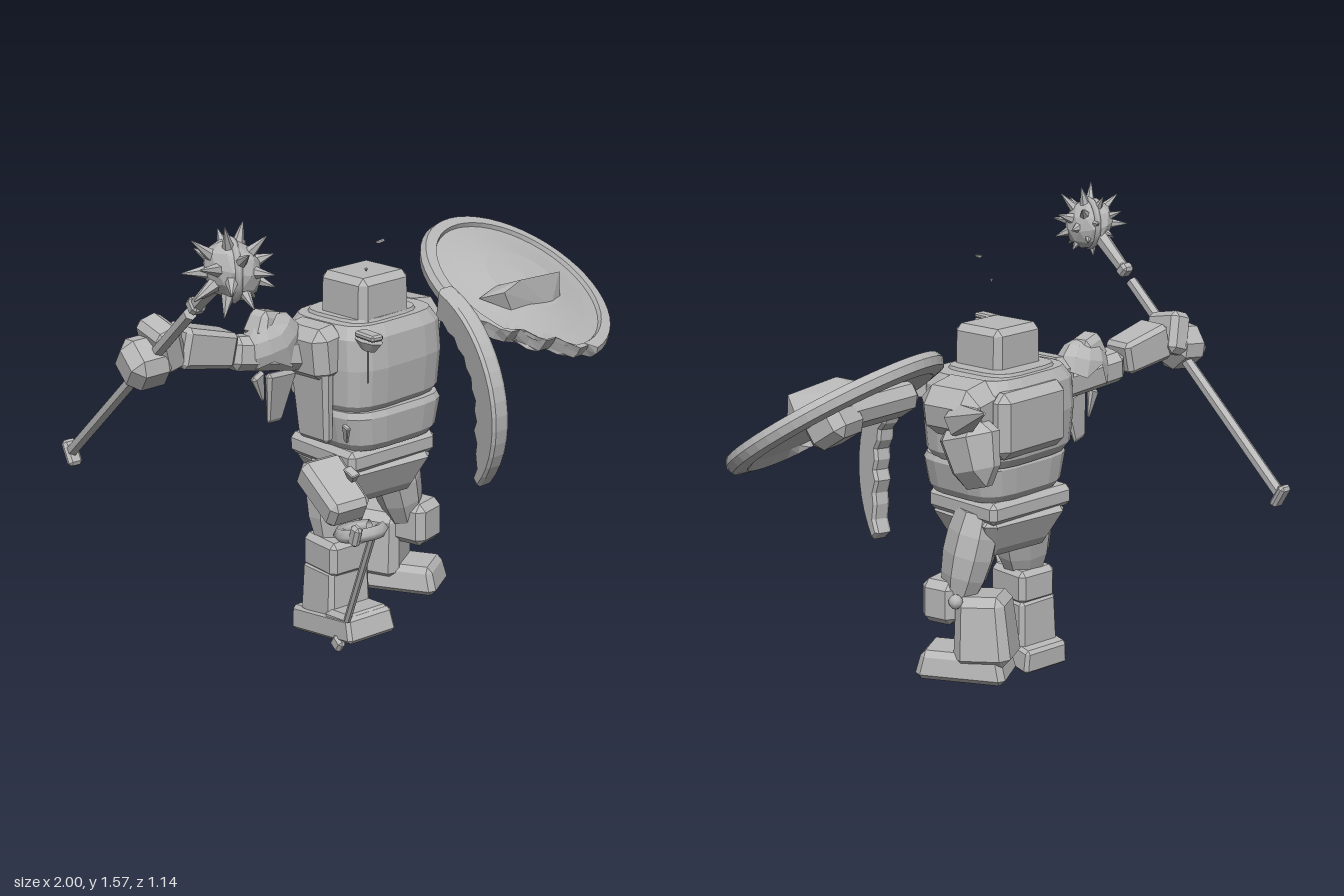
import * as THREE from 'three';
import { ConvexGeometry } from 'three/addons/geometries/ConvexGeometry.js';

const V = (a) => new THREE.Vector3(...a);
const UP = new THREE.Vector3(0, 1, 0);

export function createModel() {
  const model = new THREE.Group();
  const stone = new THREE.MeshStandardMaterial({ color: 0xb8b8b8, side: THREE.DoubleSide });
  stone.name = 'grey stone';

  function add(name, geo, pos = [0, 0, 0], rot = [0, 0, 0], parent = model) {
    const m = new THREE.Mesh(geo, stone);
    m.name = name;
    m.position.set(...pos);
    m.rotation.set(...rot);
    parent.add(m);
    return m;
  }
  function faceted(geo) {
    const g = geo.index ? geo.toNonIndexed() : geo;
    g.computeVertexNormals();
    return g;
  }
  // chamfered block; bottom and top scale its two ends
  function blockGeo(w, h, d, c = 0.025, bottom = 1, top = 1) {
    const pts = [];
    for (const x of [-1, 1]) for (const y of [-1, 1]) for (const z of [-1, 1]) {
      const s = y < 0 ? bottom : top;
      for (let i = 0; i < 3; i++) {
        pts.push(new THREE.Vector3(
          x * (w / 2 - (i === 0 ? 0 : c)) * s,
          y * (h / 2 - (i === 1 ? 0 : c)),
          z * (d / 2 - (i === 2 ? 0 : c)) * s));
      }
    }
    return new ConvexGeometry(pts);
  }
  // rounded-square body from rings of [height, half width, half depth]
  function bodyGeo(rings) {
    const pts = [];
    const soft = (t) => Math.sign(t) * Math.sqrt(Math.abs(t));
    for (const [y, w, d] of rings) for (let i = 0; i < 20; i++) {
      const a = (i + 0.5) / 20 * Math.PI * 2;
      pts.push(new THREE.Vector3(w * soft(Math.cos(a)), y, d * soft(Math.sin(a))));
    }
    return new ConvexGeometry(pts);
  }
  // aims a mesh's y axis from a to b
  function span(name, geo, a, b) {
    const A = V(a), B = V(b);
    const m = add(name, geo, A.clone().lerp(B, 0.5).toArray());
    m.quaternion.setFromUnitVectors(UP, B.sub(A).normalize());
    return m;
  }
  const dist = (a, b) => V(a).distanceTo(V(b));
  const limb = (name, a, b, w, d, c = 0.03, s0 = 1, s1 = 1) =>
    span(name, blockGeo(w, dist(a, b), d, c, s0, s1), a, b);
  const rod = (name, a, b, r, r2 = r) =>
    span(name, faceted(new THREE.CylinderGeometry(r2, r, dist(a, b), 6)), a, b);
  // thigh with a full middle and narrow ends
  function thigh(name, a, b, w, d) {
    const h = dist(a, b);
    const g = new THREE.CylinderGeometry(0.5, 0.5, h, 8, 4);
    const p = g.attributes.position;
    for (let i = 0; i < p.count; i++) {
      const t = p.getY(i) / h;
      const s = 1.06 - 1.1 * (t + 0.1) * (t + 0.1);
      p.setXYZ(i, p.getX(i) * w * s, p.getY(i), p.getZ(i) * d * s);
    }
    span(name, faceted(g), a, b);
  }
  // open dome with a ragged lower edge
  function brokenShell(name, r, scale, pos, rot) {
    const g = new THREE.SphereGeometry(r, 12, 4, 0, Math.PI * 2, 0, 1.8);
    const p = g.attributes.position;
    for (let i = 0; i < p.count; i++) {
      const a = Math.atan2(p.getZ(i), p.getX(i));
      const ragged = p.getY(i) < r * 0.1 ? 0.4 : 0.06;
      p.setY(i, p.getY(i) + r * ragged * Math.sin(a * 5) * Math.cos(a * 2));
    }
    add(name, faceted(g), pos, rot).scale.set(...scale);
  }

  // head and torso, turned slightly
  add('head', blockGeo(0.225, 0.22, 0.21, 0.022, 1.0, 0.97), [-0.07, 1.12, 0.03], [0, 0.12, 0]);
  add('collar', bodyGeo([[1.03, 0.18, 0.165], [1.1, 0.15, 0.135]]), [-0.06, 0, 0], [0, 0.15, 0]);
  add('chest', bodyGeo([[0.8, 0.205, 0.165], [0.83, 0.222, 0.185], [0.95, 0.228, 0.195], [1.05, 0.225, 0.185],
    [1.09, 0.2, 0.16]]), [-0.05, 0, 0], [0, 0.15, 0]);
  add('abdomen', bodyGeo([[0.675, 0.185, 0.155], [0.7, 0.2, 0.172], [0.79, 0.218, 0.18], [0.81, 0.21, 0.17]]),
    [-0.05, 0, 0.02], [0, 0.1, 0]);
  add('belt', blockGeo(0.375, 0.075, 0.32, 0.018), [-0.065, 0.64, 0.01], [0, 0.06, 0]);
  add('pelvis', blockGeo(0.35, 0.15, 0.32, 0.03, 0.75, 1), [-0.06, 0.55, 0.01]);
  add('backPlate', blockGeo(0.32, 0.22, 0.08, 0.03), [-0.02, 0.95, -0.18], [0, 0.13, 0]);
  add('tornSidePlate', blockGeo(0.05, 0.26, 0.17, 0.015, 0.8, 1), [-0.285, 0.83, 0.04], [0, 0.13, 0.06]);

  // right leg
  thigh('rightThigh', [-0.16, 0.62, 0.01], [-0.205, 0.34, 0.04], 0.15, 0.2);
  add('rightKneePlate', blockGeo(0.16, 0.12, 0.17, 0.018), [-0.205, 0.3, 0.05]);
  limb('rightShin', [-0.205, 0.26, 0.045], [-0.21, 0.08, 0.05], 0.17, 0.17, 0.015, 0.95, 1.02);
  add('rightFoot', blockGeo(0.195, 0.085, 0.33, 0.012, 1, 0.95), [-0.21, 0.072, 0.085], [-0.17, 0, 0]);
  add('rightToeCap', blockGeo(0.18, 0.06, 0.13, 0.015), [-0.21, 0.11, 0.165], [-0.1, 0, 0]);

  // left leg, turned outward
  thigh('leftThigh', [0.055, 0.62, -0.02], [0.125, 0.33, 0.0], 0.17, 0.22);
  add('leftKneePlate', blockGeo(0.14, 0.15, 0.13, 0.025), [0.15, 0.32, 0.035], [0, 0.3, 0]);
  add('leftShin', blockGeo(0.19, 0.24, 0.19, 0.03, 1.03, 0.88), [0.085, 0.235, -0.09], [0.08, 0.6, 0]);
  add('leftFoot', blockGeo(0.18, 0.1, 0.31, 0.02, 1, 0.9), [0.13, 0.112, -0.04], [0, 0.6, 0]);
  add('leftKneeBolt', new THREE.SphereGeometry(0.025, 8, 6), [0.19, 0.34, -0.06]);

  // left shoulder and arm fragments behind the shield
  add('leftShoulder', blockGeo(0.2, 0.17, 0.24, 0.05), [0.17, 1.0, -0.07], [0, 0.2, -0.15]);
  add('leftUpperArm', blockGeo(0.16, 0.23, 0.22, 0.06, 0.8, 1), [0.19, 0.87, -0.15], [0.3, 0.2, 0]);
  rod('leftArmSplinter', [0.23, 0.98, -0.14], [0.27, 1.04, -0.3], 0.06, 0.004);

  // right arm reaching out to the mace
  add('rightShoulder', blockGeo(0.13, 0.18, 0.2, 0.035), [-0.28, 1.0, 0.03], [0, 0.15, 0.1]);
  brokenShell('rightPauldron', 0.115, [1.05, 0.9, 0.7], [-0.41, 1.03, -0.02], [0.1, 0.2, 0.35]);
  add('pauldronShard', blockGeo(0.12, 0.09, 0.1, 0.02, 1, 0.8), [-0.43, 1.1, -0.02], [0, 0.2, -0.25]);
  limb('rightUpperArm', [-0.3, 0.99, 0.0], [-0.57, 1.03, -0.03], 0.11, 0.11, 0.025);
  add('armorTatters', blockGeo(0.15, 0.17, 0.03, 0.012, 0.5, 1), [-0.4, 0.86, 0.0], [0.1, 0.3, -0.15]);
  add('armorTatterTip', blockGeo(0.06, 0.1, 0.025, 0.01, 0.3, 1), [-0.46, 0.9, -0.01], [0, 0.3, 0.3]);
  limb('rightForearm', [-0.565, 1.045, -0.03], [-0.76, 1.09, -0.03], 0.12, 0.125, 0.015, 0.95, 1.08);
  limb('rightWrist', [-0.74, 1.08, -0.03], [-0.84, 1.07, -0.04], 0.08, 0.09, 0.02);
  add('rightHand', blockGeo(0.15, 0.14, 0.15, 0.035), [-0.855, 1.05, -0.05], [0.7, 0, 0.1]);
  add('gauntletCuff', blockGeo(0.09, 0.15, 0.15, 0.02), [-0.8, 1.1, -0.04], [0.2, 0, 0.3]);

  // spiked mace with a cracked shaft
  rod('maceShaft', [-0.84, 0.62, -0.55], [-0.84, 1.25, 0.185], 0.021);
  rod('maceNeck', [-0.845, 1.275, 0.215], [-0.845, 1.42, 0.39], 0.022, 0.03);
  add('maceShaftCap', blockGeo(0.05, 0.04, 0.05, 0.01), [-0.845, 1.285, 0.225], [0.87, 0, 0]);
  add('macePommel', blockGeo(0.05, 0.03, 0.09, 0.01), [-0.84, 0.615, -0.55], [1.05, 0, 0]);
  const head = [-0.845, 1.43, 0.415];
  const mace = add('maceHead', faceted(new THREE.IcosahedronGeometry(0.095, 1)), head, [0, 0, 0.4]);
  mace.scale.set(0.8, 1, 1);
  add('maceBand', new THREE.TorusGeometry(0.085, 0.012, 6, 20), head, [0, 1.2, 0]);
  const N = 24;
  for (let i = 0; i < N; i++) {
    const y = 1 - (2 * i + 1) / N, r = Math.sqrt(1 - y * y), a = i * 2.39996;
    const dir = new THREE.Vector3(r * Math.cos(a), y, r * Math.sin(a));
    // longer on the upper outer side
    const reach = 0.135 + 0.035 * (dir.z * 0.6 + dir.y * 0.3 - dir.x * 0.6);
    const at = (k) => V(head).addScaledVector(dir, k).toArray();
    rod('maceSpike', at(0.065), at(reach), 0.022, 0.002);
  }

  // round shield, its front edge broken away
  const shield = new THREE.Group();
  shield.name = 'shield';
  shield.position.set(0.622, 1.045, -0.006);
  shield.quaternion.setFromUnitVectors(UP, V([0.2, 1, 0.63]).normalize());
  model.add(shield);
  const profile = [[0, 0.03], [0.15, 0.015], [0.29, -0.015], [0.33, -0.035], [0.375, -0.025], [0.385, 0],
    [0.375, 0.022], [0.335, 0.025], [0.33, 0.01], [0.27, 0.02], [0.15, 0.045], [0, 0.055]];
  const disc = new THREE.LatheGeometry(profile.map(([r, y]) => new THREE.Vector2(r, y)), 48);
  const dp = disc.attributes.position;
  for (let i = 0; i < dp.count; i++) {
    const x = dp.getX(i), z = dp.getZ(i) * 0.92;
    const over = Math.max(0, -0.3 * x + 0.954 * z - (0.275 + 0.015 * Math.sin(x * 45)));
    dp.setX(i, x + 0.3 * over);
    dp.setZ(i, z - 0.954 * over);
  }
  add('shieldDisc', faceted(disc), [0, 0, 0], [0, 0, 0], shield);
  const ridge = [[-0.26, 0.03, 0.08], [-0.2, 0.085, 0.11], [-0.12, 0.115, 0.08], [0.1, 0.115, 0.04], [0.13, 0.04, 0.01],
    [0.12, 0.04, 0.09], [-0.15, 0.04, 0.03], [-0.15, 0.03, 0.14], [0.05, 0.03, 0.13]];
  add('shieldRidge', new ConvexGeometry(ridge.map(V)), [0, 0, 0], [0, 0, 0], shield);
  add('shieldArmBrace', blockGeo(0.32, 0.1, 0.14, 0.03), [-0.11, -0.03, -0.03], [0, 0.1, 0.1], shield);
  add('shieldGrip', blockGeo(0.15, 0.11, 0.15, 0.03), [0.06, -0.04, -0.05], [0, 0.3, 0], shield);

  // curved rim shard in front of the left side
  const shard = new THREE.Shape();
  const steps = 16, a0 = -0.76, a1 = 1.32;
  for (let i = 0; i <= steps; i++) {
    const a = a0 + (a1 - a0) * i / steps;
    shard[i ? 'lineTo' : 'moveTo'](0.375 * Math.cos(a), 0.375 * Math.sin(a));
  }
  for (let i = steps; i >= 0; i--) {
    const a = a0 + (a1 - a0) * i / steps;
    const r = 0.375 - 0.1 * Math.min(1, 0.25 + i / 5) + (i % 2) * 0.012;
    shard.lineTo(r * Math.cos(a), r * Math.sin(a));
  }
  const shardGeo = new THREE.ExtrudeGeometry(shard, { depth: 0.045, bevelSize: 0.008, bevelThickness: 0.012, bevelSegments: 1 });
  shardGeo.translate(0, 0, -0.022).rotateY(-Math.PI / 2);
  const sp = shardGeo.attributes.position;
  for (let i = 0; i < sp.count; i++) sp.setX(i, sp.getX(i) - 0.12 * (sp.getZ(i) - 0.2));
  add('rimShard', faceted(shardGeo), [0.236, 0.76, 0], [0, 0, 0.07]);

  // loose gauntlet with a ring, and the rod down to the foot
  limb('looseGauntlet', [-0.39, 0.68, 0.19], [-0.4, 0.57, 0.38], 0.15, 0.1, 0.02, 1, 0.95);
  add('looseRing', new THREE.TorusGeometry(0.065, 0.022, 5, 14, 5.2), [-0.4, 0.535, 0.43], [1.35, 0, 0.6]);
  add('looseHook', blockGeo(0.03, 0.07, 0.04, 0.01), [-0.46, 0.55, 0.48], [0.3, 0, 0]);
  rod('brokenRod', [-0.345, 0.52, 0.425], [-0.305, 0.14, 0.235], 0.012);
  add('rodTip', blockGeo(0.03, 0.05, 0.05, 0.01), [-0.3, 0.04, 0.18], [0.6, 0, 0]);

  // floating stud and debris
  add('floatingStud', faceted(new THREE.CylinderGeometry(0.06, 0.03, 0.03, 8)), [-0.36, 1.12, 0.42]).scale.x = 0.5;
  add('floatingStudTop', blockGeo(0.045, 0.02, 0.09, 0.006), [-0.36, 1.15, 0.42]);
  rod('floatingPin', [-0.36, 1.11, 0.415], [-0.36, 1.0, 0.415], 0.003);
  const debris = [[-0.47, 0.87, 0.45, 0.015, 0.06, 0.03], [-0.47, 0.745, 0.475, 0.03, 0.035, 0.05],
    [-0.22, 1.395, 0.3, 0.03, 0.01, 0.012], [-0.26, 1.31, 0.28, 0.01, 0.012, 0.01]];
  for (const [x, y, z, w, h, d] of debris) add('debris', blockGeo(w, h, d, 0.003, 0.5, 1), [x, y, z], [0.3, 0, 0.2]);

  return model;
}
